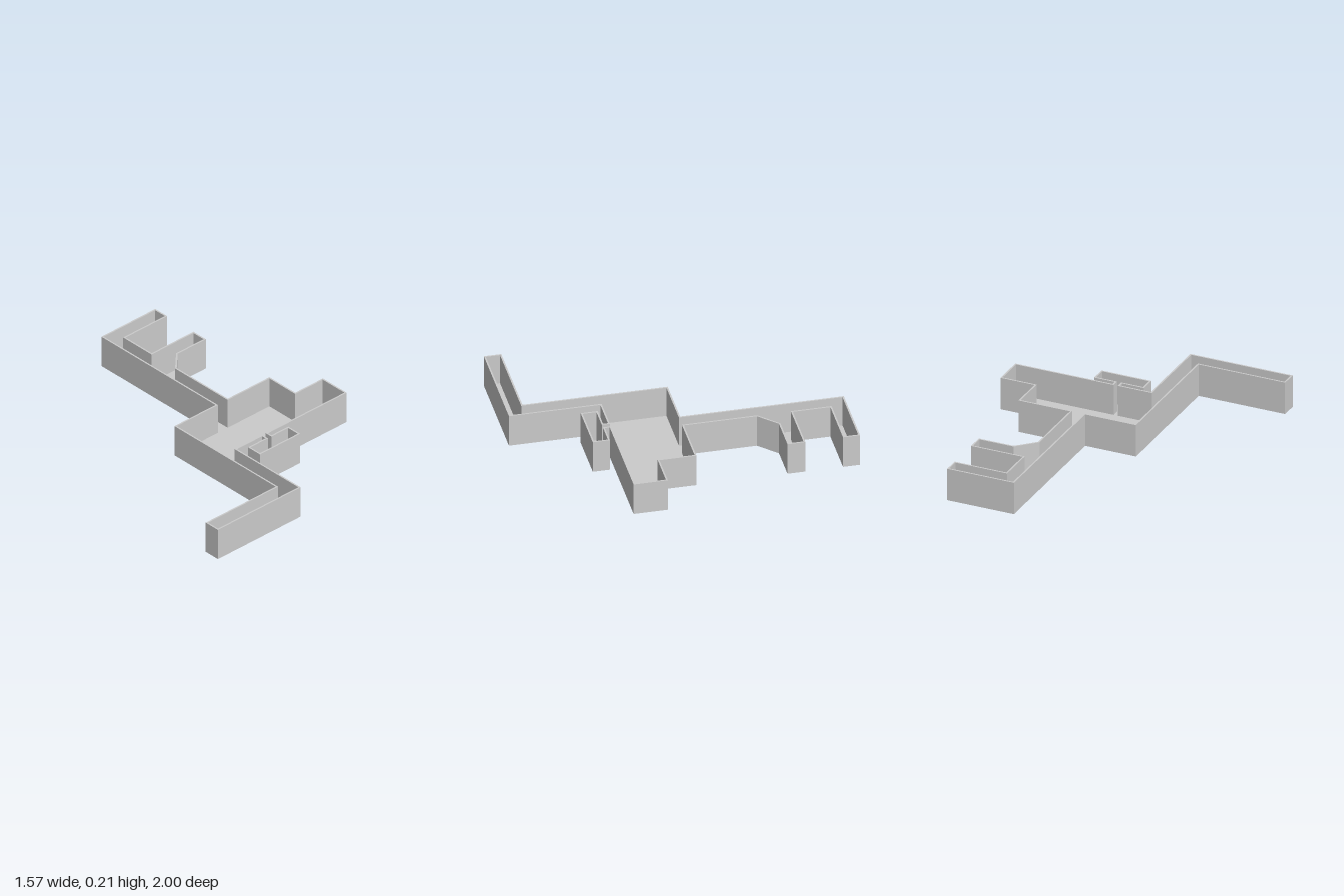
import * as THREE from 'three';

const HEIGHT = 0.21, WALL = 0.01, FLOOR = 0.01;

// Plan outline as [x, z], walked around the building once
const PLAN = [
  [0.12, -1], [0.56, -1], [0.56, -0.895], [0.22, -0.895],           // far wing
  [0.22, -0.665], [0.56, -0.665], [0.56, -0.555], [0.33, -0.555],   // side wing
  [0.22, -0.445], [0.22, 0.003], [0.56, 0.003],                     // long corridor
  [0.56, 0.23], [0.785, 0.23], [0.785, 0.44],                       // hall and its bay
  [0.143, 0.44], [0.143, 0.47], [0.28, 0.47], [0.28, 0.575],        // neck and small room
  [-0.048, 0.575], [-0.048, 0.47], [0.095, 0.47], [0.095, 0.44],
  [-0.11, 0.44], [-0.11, 1], [-0.785, 1], [-0.785, 0.893],          // front corridor
  [-0.215, 0.893], [-0.215, 0.003], [0.12, 0.003],
];

// Inset a closed outline by d with mitred corners
function inset(points, d) {
  const n = points.length;
  const normal = (a, b) => new THREE.Vector2(a.y - b.y, b.x - a.x).normalize();
  return points.map((p, i) => {
    const n1 = normal(points[(i + n - 1) % n], p);
    const n2 = normal(p, points[(i + 1) % n]);
    const mitre = n1.clone().add(n2).multiplyScalar(d / (1 + n1.dot(n2)));
    return p.clone().add(mitre);
  });
}

// Raise a plan shape from y = base by the given height
function raise(name, shape, base, height, material) {
  const geometry = new THREE.ExtrudeGeometry(shape, { depth: height, bevelEnabled: false });
  geometry.rotateX(-Math.PI / 2);
  const mesh = new THREE.Mesh(geometry, material);
  mesh.position.y = base;
  mesh.name = name;
  return mesh;
}

export function createModel() {
  const group = new THREE.Group();
  group.name = 'floorPlan';
  const material = new THREE.MeshStandardMaterial({ color: 0xcccccc, flatShading: true });

  // Shape y is -z; reversed so the outline runs counter-clockwise
  let outline = PLAN.map(([x, z]) => new THREE.Vector2(x, -z));
  if (THREE.ShapeUtils.area(outline) < 0) outline = outline.reverse();

  group.add(raise('floor', new THREE.Shape(outline), 0, FLOOR, material));

  // Thin perimeter walls, open at the top
  const walls = new THREE.Shape(outline);
  walls.holes.push(new THREE.Path(inset(outline, WALL)));
  group.add(raise('walls', walls, FLOOR, HEIGHT - FLOOR, material));

  return group;
}
